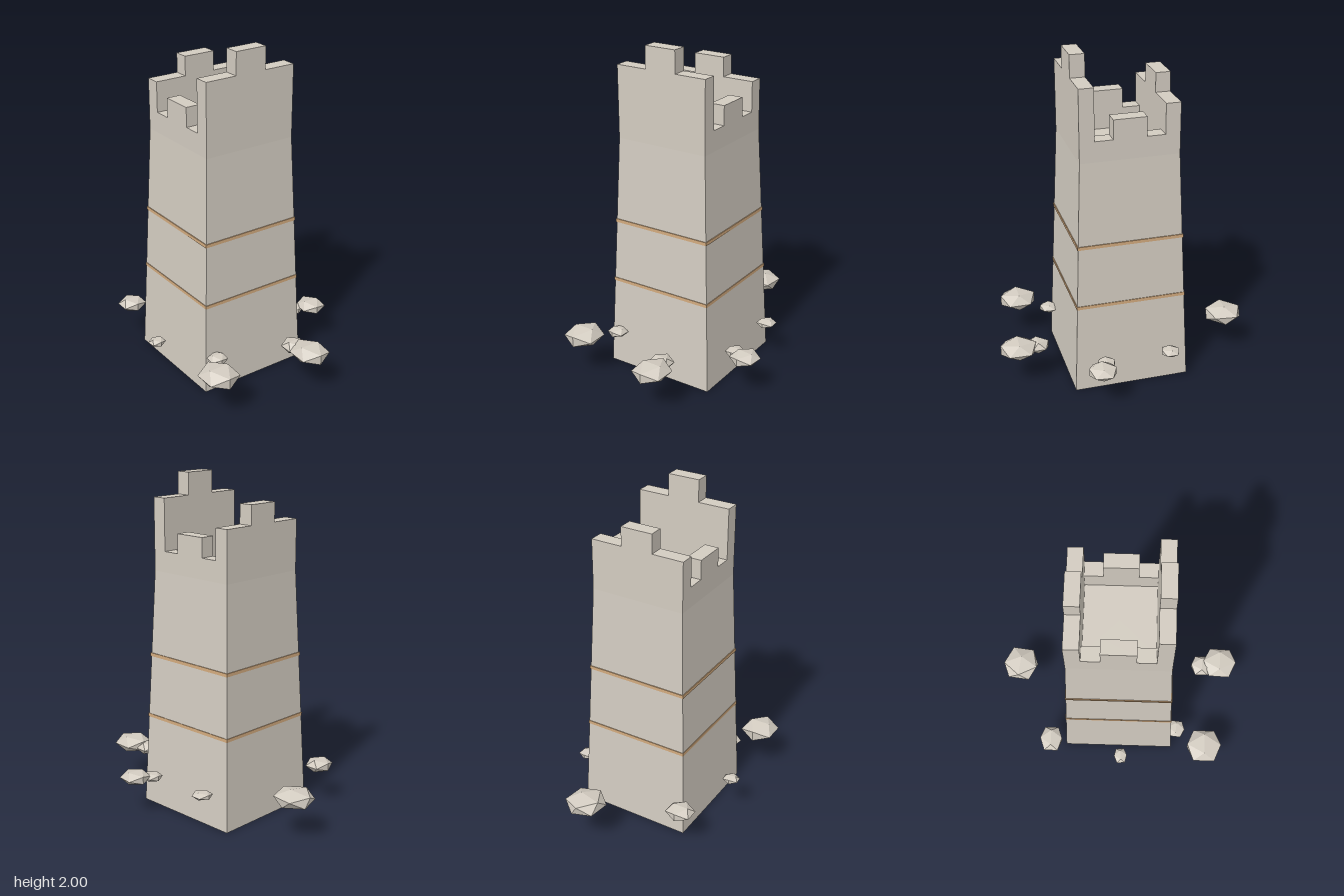
import * as THREE from 'three';

export function createModel() {
  const stone = new THREE.MeshStandardMaterial({ color: 0xd2cbc0 });
  stone.name = 'paleStone';
  const trim = new THREE.MeshStandardMaterial({ color: 0xd2aa7e });
  trim.name = 'tanTrim';

  const model = new THREE.Group();
  model.name = 'ruinedTower';
  const tower = new THREE.Group();
  tower.name = 'tower';
  tower.position.set(-0.048, 0, 0.002);
  model.add(tower);

  const add = (parent, name, geometry, material, x, y, z) => {
    const mesh = new THREE.Mesh(geometry, material);
    mesh.name = name;
    mesh.position.set(x, y, z);
    parent.add(mesh);
  };
  // Square frustum with hard edges, given half widths
  const frustum = (top, bottom, height) => {
    const g = new THREE.CylinderGeometry(top * Math.SQRT2, bottom * Math.SQRT2, height, 4)
      .rotateY(Math.PI / 4).toNonIndexed();
    g.computeVertexNormals();
    return g;
  };

  // Tapered shaft
  const base = 0.348, top = 0.29, shaft = 1.44;
  add(tower, 'shaft', frustum(top, base, shaft), stone, 0, shaft / 2, 0);

  // Thin bands around the shaft
  for (const [y, half] of [[0.552, 0.329], [0.932, 0.315]]) {
    add(tower, 'band', new THREE.BoxGeometry(half * 2, 0.02, half * 2), trim, 0, y, 0);
  }

  // Parapet walls of uneven height, each with one merlon in the middle
  const thick = 0.087, merlon = 0.195, inner = top - thick;
  const parapet = (name, length, wallTop, merlonTop, x, z, turned) => {
    const block = (part, w, y0, y1) => add(tower, name + part,
      new THREE.BoxGeometry(turned ? thick : w, y1 - y0, turned ? w : thick),
      stone, x, (y0 + y1) / 2, z);
    block('Wall', length, shaft, wallTop);
    block('Merlon', merlon, wallTop, merlonTop);
  };
  const mid = top - thick / 2;
  parapet('front', top * 2, 1.868, 2.0, 0, mid, false);
  parapet('back', top * 2, 1.742, 1.857, 0, -mid, false);
  for (const side of [1, -1]) {
    parapet(side > 0 ? 'left' : 'right', inner * 2, 1.562, 1.677, side * mid, 0, true);
  }

  // Floating rocks: centre x, y, z, half extents x, y, z, yaw, tilt
  const rocks = [
    [0.08, 0.25, -0.66, 0.105, 0.049, 0.108, -0.12, 0.3],
    [-0.425, 0.238, -0.433, 0.077, 0.038, 0.07, 0, 0],
    [0.37, 0.22, -0.217, 0.053, 0.022, 0.053, 0, 0],
    [-0.52, 0.22, 0.018, 0.047, 0.022, 0.041, 0.1, 0],
    [0.387, 0.222, 0.185, 0.051, 0.025, 0.051, 0, 0],
    [0.482, 0.235, 0.232, 0.078, 0.037, 0.08, -0.12, 0],
    [-0.33, 0.223, 0.375, 0.053, 0.025, 0.055, -0.1, 0],
    [-0.445, 0.25, 0.555, 0.1, 0.053, 0.108, 0, 0],
    [0.105, 0.235, 0.54, 0.065, 0.036, 0.068, 0, 0],
    [0.125, 0.245, 0.658, 0.096, 0.049, 0.106, -0.04, 0],
  ];
  const reach = 0.8507; // axis reach of a unit icosahedron
  for (const [x, y, z, w, h, d, yaw, tilt] of rocks) {
    const g = new THREE.IcosahedronGeometry(1, 0)
      .rotateZ(tilt).scale(w / reach, h / reach, d / reach).rotateY(yaw);
    g.computeVertexNormals();
    add(model, 'rock', g, stone, x, y, z);
  }
  return model;
}
